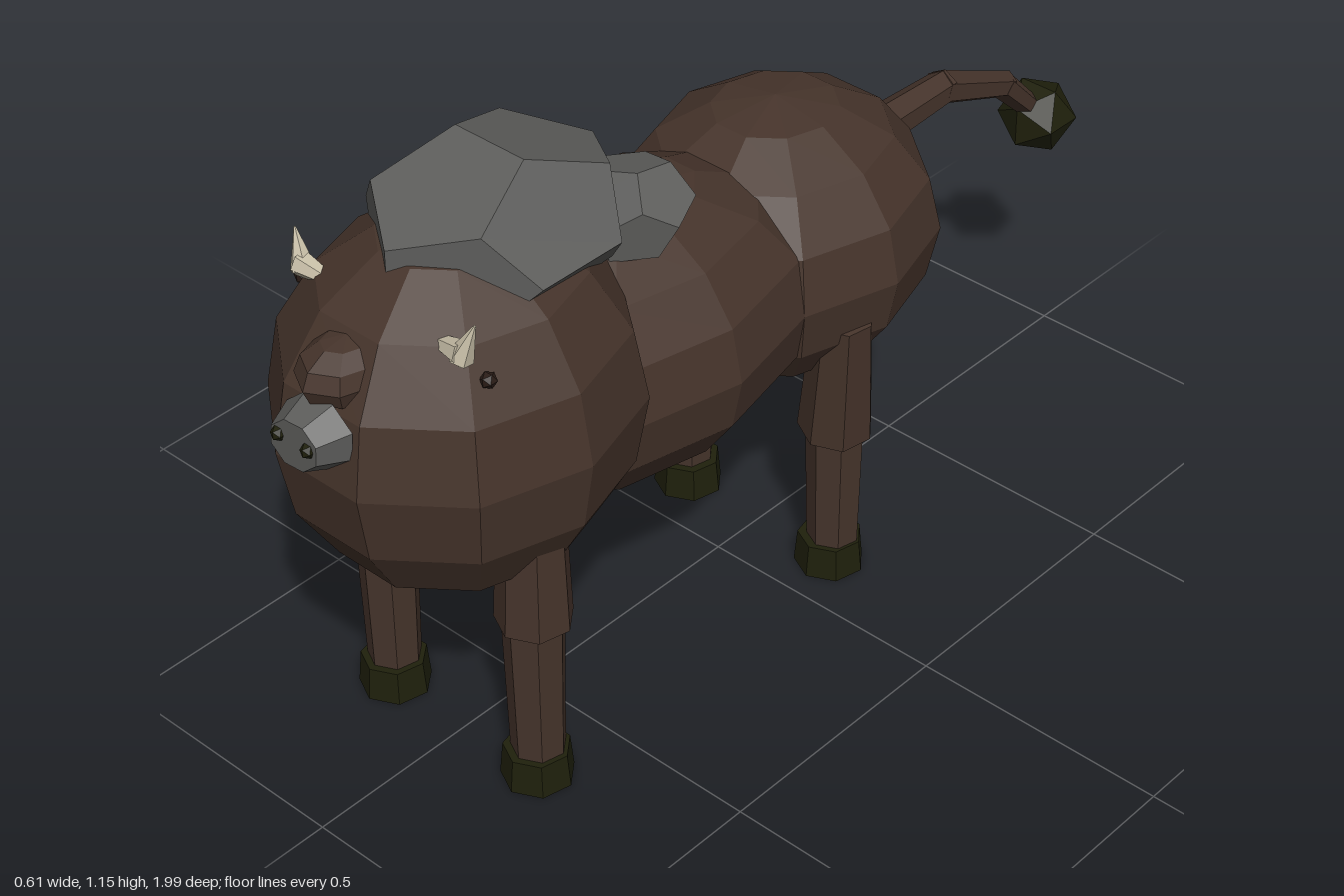
import * as THREE from 'three';

const mat = (name, color) => {
  const m = new THREE.MeshStandardMaterial({ color, flatShading: true });
  m.name = name;
  return m;
};

export function createModel() {
  const model = new THREE.Group();
  const hide = mat('brown hide', 0x46342b);
  const stone = mat('grey stone', 0x5e5e5c);
  const hoofDark = mat('dark olive', 0x1f200c);
  const bone = mat('pale bone', 0xc6bda6);
  const eyeDark = mat('dark eye', 0x2a1c16);

  const add = (name, geo, material, pos = [0, 0, 0], scale = [1, 1, 1], rot = [0, 0, 0]) => {
    const m = new THREE.Mesh(geo, material);
    m.name = name;
    m.position.set(...pos);
    m.scale.set(...scale);
    m.rotation.set(...rot);
    model.add(m);
    return m;
  };
  // Tapered faceted limb between two points
  const limb = (name, a, b, ra, rb, material, sides = 7) => {
    const p = new THREE.Vector3(...a), q = new THREE.Vector3(...b);
    const d = q.clone().sub(p);
    const m = add(name, new THREE.CylinderGeometry(rb, ra, d.length(), sides), material,
      p.clone().add(q).multiplyScalar(0.5).toArray());
    m.quaternion.setFromUnitVectors(new THREE.Vector3(0, 1, 0), d.normalize());
    return m;
  };

  // Body: three overlapping faceted ellipsoids
  const ball = new THREE.SphereGeometry(1, 10, 8);
  add('headAndChest', ball, hide, [0, 0.725, 0.635], [0.305, 0.345, 0.33]);
  add('belly', ball, hide, [0, 0.663, 0.25], [0.278, 0.262, 0.42]);
  add('hips', ball, hide, [0, 0.663, -0.148], [0.287, 0.268, 0.315]);

  // Stones on the back
  const rock = new THREE.DodecahedronGeometry(1);
  add('largeStone', rock, stone, [0, 1.014, 0.54], [0.215, 0.156, 0.25]);
  add('smallStone', rock, stone, [0.06, 0.94, 0.29], [0.118, 0.085, 0.108], [0.25, 0.35, 0.1]);

  // Face
  add('noseBridge', new THREE.SphereGeometry(1, 8, 6), hide, [0, 0.9, 0.86], [0.075, 0.06, 0.1]);
  add('snout', new THREE.CylinderGeometry(0.058, 0.085, 0.055, 8), stone,
    [0, 0.812, 0.96], [1, 1, 0.8], [Math.PI / 2, 0, 0]).rotation.y = Math.PI / 8;
  for (const s of [-1, 1]) {
    add('nostril', new THREE.IcosahedronGeometry(0.014), hoofDark, [s * 0.034, 0.82, 0.987]);
    add('eye', new THREE.IcosahedronGeometry(0.015), eyeDark, [s * 0.212, 0.922, 0.765]);
    limb('tuskBase', [s * 0.135, 0.965, 0.785], [s * 0.185, 0.972, 0.79], 0.014, 0.023, bone, 6);
    limb('tuskTip', [s * 0.178, 0.962, 0.79], [s * 0.203, 1.028, 0.78], 0.023, 0.002, bone, 6);
  }

  // Legs with hooves
  for (const s of [-1, 1]) {
    limb('frontUpperLeg', [s * 0.18, 0.355, 0.657], [s * 0.183, 0.56, 0.657], 0.069, 0.06, hide);
    limb('frontLowerLeg', [s * 0.178, 0.06, 0.657], [s * 0.178, 0.37, 0.657], 0.049, 0.056, hide);
    limb('frontHoof', [s * 0.177, 0.005, 0.66], [s * 0.177, 0.07, 0.66], 0.066, 0.06, hoofDark);
    limb('rearUpperLeg', [s * 0.182, 0.32, -0.115], [s * 0.212, 0.59, -0.092], 0.07, 0.055, hide);
    limb('rearLowerLeg', [s * 0.182, 0.06, -0.115], [s * 0.182, 0.36, -0.115], 0.049, 0.056, hide);
    limb('rearHoof', [s * 0.177, 0.005, -0.112], [s * 0.177, 0.07, -0.112], 0.066, 0.06, hoofDark);
  }

  // Tail in three segments with a tuft
  limb('tailRoot', [0, 0.728, -0.38], [0, 0.73, -0.63], 0.042, 0.033, hide, 6);
  limb('tailMiddle', [0, 0.733, -0.61], [0, 0.645, -0.82], 0.034, 0.027, hide, 6);
  limb('tailEnd', [0, 0.652, -0.805], [0, 0.55, -0.91], 0.028, 0.023, hide, 6);
  add('tailTuft', new THREE.IcosahedronGeometry(0.077), hoofDark, [0, 0.527, -0.928]);

  return model;
}
